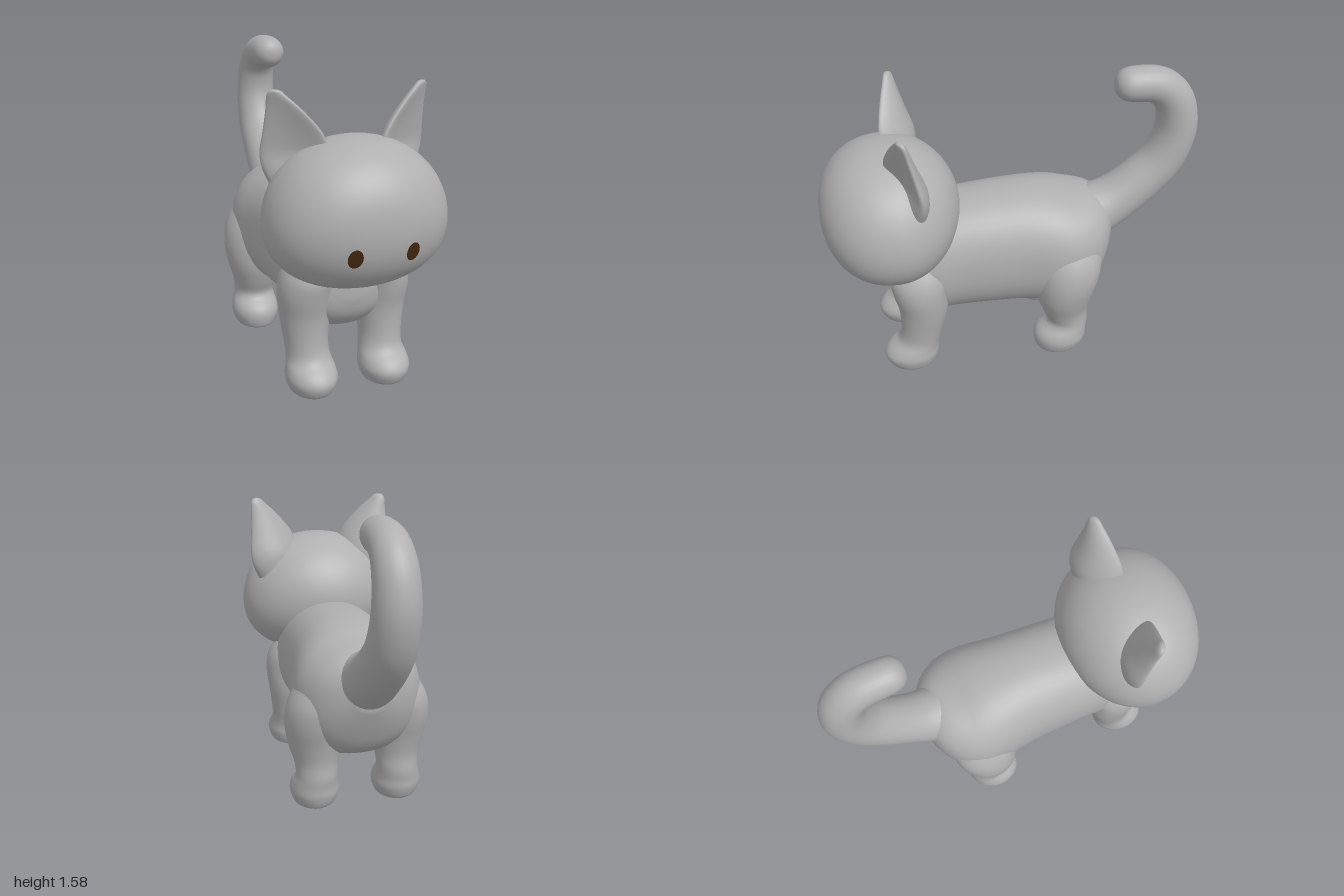
import * as THREE from 'three';
import { mergeVertices } from 'three/addons/utils/BufferGeometryUtils.js';

const fur = new THREE.MeshStandardMaterial({ color: 0xb0b0b0 });
fur.name = 'grey fur';
const eyeBrown = new THREE.MeshStandardMaterial({ color: 0x452810 });
eyeBrown.name = 'dark brown eye';

// Catmull-Rom interpolation of a table of cross-section rows
function smoothRows(rows, steps) {
  const out = [];
  const at = (i) => rows[Math.min(rows.length - 1, Math.max(0, i))];
  for (let i = 0; i < rows.length - 1; i++) {
    for (let s = 0; s < steps; s++) {
      const t = s / steps;
      out.push(rows[i].map((b, k) => {
        const a = at(i - 1)[k], c = at(i + 1)[k], d = at(i + 2)[k];
        return b + 0.5 * t * (c - a + t * (2 * a - 5 * b + 4 * c - d + t * (3 * (b - c) + d - a)));
      }));
    }
  }
  out.push(rows[rows.length - 1]);
  return out;
}

// Closed smooth skin over cross-sections; ringPoint(row, angle) gives a point
function loft(rows, ringPoint, sides = 32, steps = 4) {
  const table = smoothRows(rows, steps);
  const pos = [], index = [];
  for (const row of table) {
    for (let j = 0; j < sides; j++) pos.push(...ringPoint(row, (j / sides) * Math.PI * 2));
  }
  const n = table.length;
  for (let i = 0; i < n - 1; i++) {
    for (let j = 0; j < sides; j++) {
      const a = i * sides + j, b = i * sides + (j + 1) % sides;
      index.push(a, b, a + sides, b, b + sides, a + sides);
    }
  }
  // end caps
  for (const end of [0, n - 1]) {
    const centre = [0, 0, 0];
    for (let j = 0; j < sides; j++) {
      for (let k = 0; k < 3; k++) centre[k] += pos[(end * sides + j) * 3 + k] / sides;
    }
    const c = pos.length / 3;
    pos.push(...centre);
    for (let j = 0; j < sides; j++) {
      const a = end * sides + j, b = end * sides + (j + 1) % sides;
      if (end === 0) index.push(c, b, a); else index.push(c, a, b);
    }
  }
  // turn the skin outward when its volume comes out negative
  const p = (i) => new THREE.Vector3().fromArray(pos, i * 3);
  let volume = 0;
  for (let i = 0; i < index.length; i += 3) {
    volume += p(index[i]).dot(p(index[i + 1]).cross(p(index[i + 2])));
  }
  if (volume < 0) index.reverse();
  const geo = new THREE.BufferGeometry();
  geo.setAttribute('position', new THREE.Float32BufferAttribute(pos, 3));
  geo.setIndex(index);
  geo.computeVertexNormals();
  return geo;
}

const squircle = (v, n) => Math.sign(v) * Math.pow(Math.abs(v), 2 / n);

// Head surface from a unit direction: wide low cheeks, flattened face
function headPoint(nx, ny, nz) {
  const r = Math.min(1, Math.sqrt(Math.max(0, 1 - nz * nz)));
  const front = nz > 0 ? Math.pow(Math.max(0, 1 - Math.pow(r, 2.25)), 1 / 2.25) : nz;
  return [0.44 * nx * (1 - 0.1 * ny + 0.12 * ny * ny), 0.925 + 0.355 * ny, 0.64 + 0.36 * front];
}

function headGeometry() {
  const geo = new THREE.SphereGeometry(1, 64, 48);
  geo.rotateX(Math.PI / 2);
  geo.deleteAttribute('uv');
  geo.deleteAttribute('normal');
  const p = geo.attributes.position;
  for (let i = 0; i < p.count; i++) p.setXYZ(i, ...headPoint(p.getX(i), p.getY(i), p.getZ(i)));
  const merged = mergeVertices(geo, 1e-5);
  merged.computeVertexNormals();
  return merged;
}

// Oval eye laid on the curve of the face
function eyeGeometry() {
  const geo = new THREE.CircleGeometry(1, 28);
  const p = geo.attributes.position;
  for (let i = 0; i < p.count; i++) {
    const x = 0.138 + 0.034 * p.getX(i), y = 0.82 + 0.046 * p.getY(i);
    const ny = (y - 0.925) / 0.355;
    const nx = x / (0.44 * (1 - 0.1 * ny + 0.12 * ny * ny));
    const nz = Math.sqrt(1 - nx * nx - ny * ny);
    p.setXYZ(i, x, y, headPoint(nx, ny, nz)[2] + 0.008);
  }
  geo.computeVertexNormals();
  return geo;
}

// Leg rows: y, centre x, centre z, half width, half depth
function legGeometry(rows) {
  return loft(rows, ([y, cx, cz, rx, rz], a) =>
    [cx + rx * Math.cos(a), Math.max(0, y), cz + rz * Math.sin(a)]);
}

export function createModel() {
  const model = new THREE.Group();
  model.name = 'cat';
  const add = (name, geo, material = fur) => {
    const mesh = new THREE.Mesh(geo, material);
    mesh.name = name;
    model.add(mesh);
    return mesh;
  };
  const addPair = (name, geo, material) => {
    add('left' + name, geo, material);
    add('right' + name, geo, material).scale.x = -1;
  };

  // Torso rows: z, centre y, half width, half height
  add('body', loft([
    [0.67, 0.53, 0.05, 0.05], [0.64, 0.53, 0.18, 0.15], [0.56, 0.55, 0.26, 0.25],
    [0.45, 0.59, 0.285, 0.31], [0.3, 0.61, 0.285, 0.33], [0, 0.615, 0.3, 0.345],
    [-0.2, 0.6, 0.33, 0.345], [-0.32, 0.6, 0.325, 0.315], [-0.43, 0.625, 0.27, 0.265],
    [-0.5, 0.665, 0.19, 0.18], [-0.55, 0.7, 0.08, 0.09],
  ], ([z, cy, rx, ry], a) =>
    [rx * squircle(Math.cos(a), 2.25), cy + ry * squircle(Math.sin(a), 2.25), z], 48));

  add('head', headGeometry());
  addPair('Eye', eyeGeometry(), eyeBrown);

  // Ear rows: y, centre x, centre z, half width, half thickness, hollow depth
  const ear = loft([
    [1.04, 0.255, 0.56, 0.12, 0.06, 0.02], [1.12, 0.26, 0.565, 0.155, 0.06, 0.035],
    [1.2, 0.265, 0.575, 0.165, 0.05, 0.05], [1.3, 0.28, 0.585, 0.138, 0.038, 0.038],
    [1.4, 0.317, 0.585, 0.088, 0.028, 0.02], [1.47, 0.353, 0.58, 0.046, 0.021, 0.006],
    [1.493, 0.36, 0.58, 0.027, 0.015, 0], [1.5, 0.361, 0.58, 0.008, 0.005, 0],
  ], ([y, cx, cz, w, t, d], a) => {
    const u = w * Math.cos(a);
    const v = t * Math.sin(a) - d * Math.sin(a) ** 2;
    return [cx + 0.88 * u + 0.47 * v, y, cz - 0.47 * u + 0.88 * v];
  }, 36);
  addPair('Ear', ear);

  addPair('FrontLeg', legGeometry([
    [0, 0.19, 0.595, 0.085, 0.105], [0.012, 0.195, 0.6, 0.108, 0.13],
    [0.07, 0.195, 0.603, 0.128, 0.15], [0.12, 0.195, 0.59, 0.122, 0.138],
    [0.17, 0.195, 0.555, 0.11, 0.115], [0.25, 0.2, 0.535, 0.11, 0.115],
    [0.38, 0.2, 0.52, 0.127, 0.132], [0.5, 0.2, 0.53, 0.138, 0.147],
    [0.6, 0.18, 0.53, 0.138, 0.155], [0.7, 0.15, 0.52, 0.1, 0.1], [0.76, 0.14, 0.5, 0.03, 0.03],
  ]));

  addPair('HindLeg', legGeometry([
    [0, 0.225, -0.225, 0.085, 0.105], [0.012, 0.225, -0.23, 0.11, 0.13],
    [0.07, 0.225, -0.235, 0.13, 0.147], [0.12, 0.225, -0.245, 0.125, 0.14],
    [0.18, 0.22, -0.278, 0.11, 0.113], [0.26, 0.22, -0.262, 0.118, 0.125],
    [0.36, 0.225, -0.255, 0.142, 0.15], [0.48, 0.23, -0.268, 0.153, 0.17],
    [0.6, 0.22, -0.28, 0.14, 0.17], [0.72, 0.18, -0.28, 0.1, 0.13], [0.8, 0.15, -0.28, 0.03, 0.04],
  ]));

  // Tail rows: centre z, centre y, radius, slope angle in the side plane
  const tail = [
    [-0.36, 0.7, 0.17], [-0.46, 0.745, 0.155], [-0.58, 0.805, 0.135], [-0.72, 0.915, 0.125],
    [-0.83, 1.04, 0.118], [-0.885, 1.2, 0.112], [-0.872, 1.34, 0.106], [-0.82, 1.43, 0.1],
    [-0.74, 1.479, 0.095], [-0.62, 1.49, 0.09], [-0.57, 1.49, 0.075], [-0.542, 1.49, 0.045],
    [-0.533, 1.49, 0.01],
  ];
  const tailRows = tail.map((row, i) => {
    const a = tail[Math.max(0, i - 1)], b = tail[Math.min(tail.length - 1, i + 1)];
    let slope = Math.atan2(b[1] - a[1], b[0] - a[0]);
    if (slope < -0.1) slope += Math.PI * 2;
    return [...row, slope];
  });
  add('tail', loft(tailRows, ([z, y, r, s], a) => {
    const v = r * Math.sin(a);
    return [r * Math.cos(a), y + v * Math.cos(s), z - v * Math.sin(s)];
  }, 28));

  return model;
}
